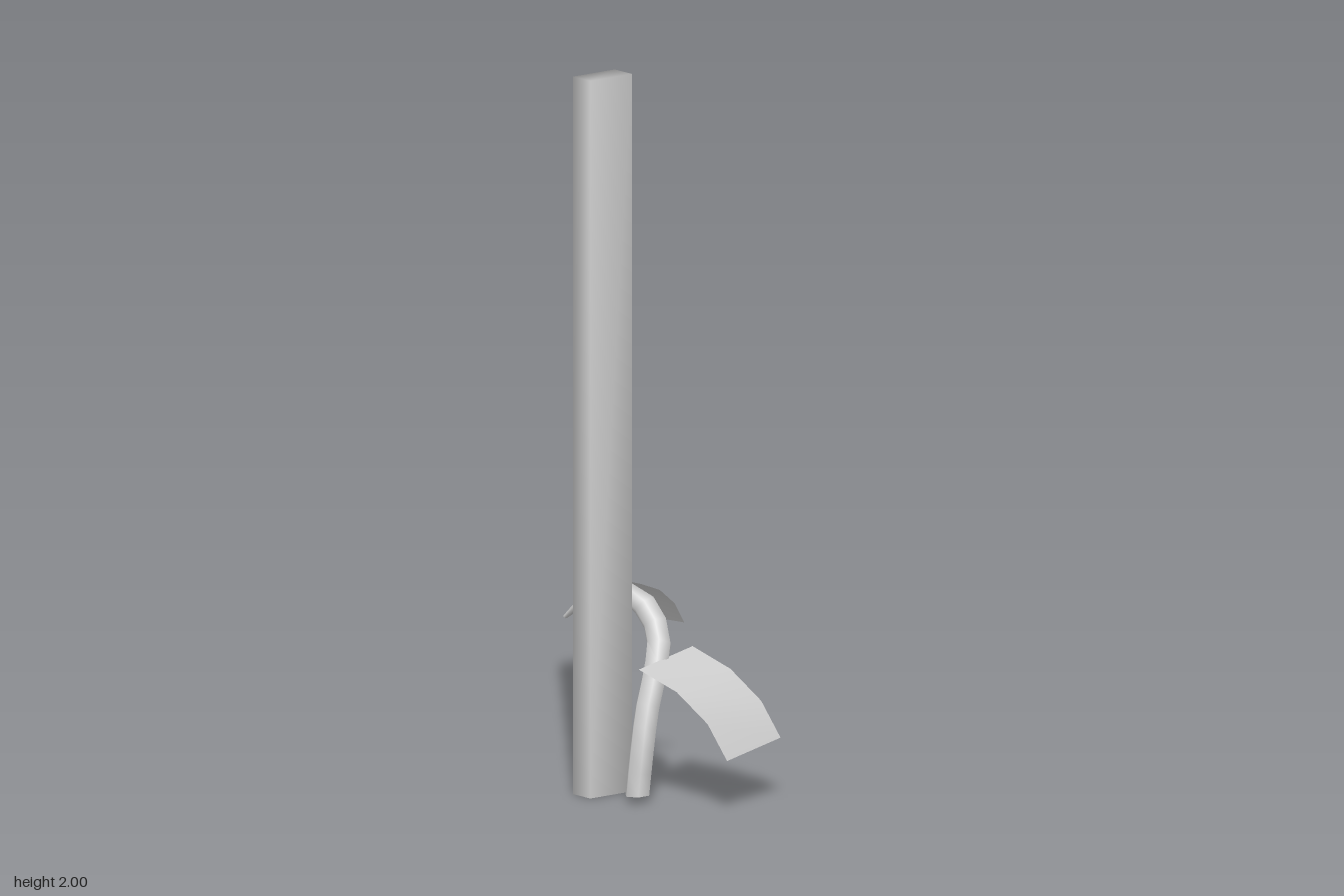
import * as THREE from 'three';
import { mergeVertices, toCreasedNormals } from 'three/addons/utils/BufferGeometryUtils.js';

const material = new THREE.MeshStandardMaterial({ color: 0xcccccc, side: THREE.DoubleSide });
const V = (x, y, z) => new THREE.Vector3(x, y, z);

function addMesh(group, name, geometry) {
  const mesh = new THREE.Mesh(geometry, material);
  mesh.name = name;
  group.add(mesh);
  return mesh;
}

// Builds a surface from equal-length rows of points
function loft(rows, closed) {
  const n = rows[0].length;
  const index = [];
  for (let i = 0; i < rows.length - 1; i++) {
    for (let j = 0; j < (closed ? n : n - 1); j++) {
      const a = i * n + j, b = i * n + (j + 1) % n;
      index.push(a, b, a + n, b, b + n, a + n);
    }
  }
  const geometry = new THREE.BufferGeometry().setFromPoints(rows.flat());
  geometry.setIndex(index);
  geometry.computeVertexNormals();
  return geometry;
}

// Tapered six-sided sweep with closed ends
function stemGeometry() {
  const curve = new THREE.CatmullRomCurve3([
    V(-0.135, 0.02, 0.069), V(-0.115, 0.14, 0.064), V(-0.08, 0.25, 0.045),
    V(-0.03, 0.35, 0.02), V(0.008, 0.43, -0.015), V(0.012, 0.49, -0.06),
    V(-0.005, 0.53, -0.11), V(-0.034, 0.535, -0.18), V(-0.055, 0.5, -0.25),
    V(-0.061, 0.44, -0.332),
  ]);
  const steps = 14, sides = 6, rows = [];
  const ring = (t, scale) => {
    const center = curve.getPointAt(t);
    const tangent = t === 0 ? V(0, 1, 0) : curve.getTangentAt(t);
    const side = V(1, 0, 0).addScaledVector(tangent, -tangent.x).normalize();
    const normal = side.clone().cross(tangent);
    const taper = t < 0.65 ? 1 : 1 - 0.82 * (t - 0.65) / 0.35;
    return Array.from({ length: sides }, (_, j) => {
      const angle = -j / sides * Math.PI * 2;
      return center.clone()
        .addScaledVector(side, Math.cos(angle) * 0.038 * taper * scale)
        .addScaledVector(normal, Math.sin(angle) * 0.032 * taper * scale);
    });
  };
  rows.push(ring(0, 0));
  for (let i = 0; i <= steps; i++) rows.push(ring(i / steps, 1));
  rows.push(ring(1, 0));
  return toCreasedNormals(loft(rows, true), 1.3);
}

// Sheet from the attached edge a-b to the drooping edge d-c
function leafGeometry(a, b, c, d) {
  const profile = [[0, 0], [0.43, 0.22], [0.78, 0.57], [1, 1]];
  const edge = (from, to, [t, drop]) => {
    const p = from.clone().lerp(to, t);
    p.y = from.y + (to.y - from.y) * drop;
    return p;
  };
  return loft(profile.map((k) => [edge(b, c, k), edge(a, d, k)]), false);
}

export function createModel() {
  const group = new THREE.Group();

  // Tall post with softened shading
  const box = new THREE.BoxGeometry(0.146, 2, 0.074);
  box.deleteAttribute('normal');
  box.deleteAttribute('uv');
  const postGeometry = mergeVertices(box);
  postGeometry.computeVertexNormals();
  addMesh(group, 'post', postGeometry).position.set(-0.132, 1, -0.085);

  // Arching stem
  addMesh(group, 'stem', stemGeometry());

  // Broad front leaf and smaller side leaf
  addMesh(group, 'frontLeaf', leafGeometry(
    V(-0.125, 0.367, 0.063), V(0.113, 0.39, 0.003), V(0.202, 0.168, 0.273), V(-0.035, 0.145, 0.333)));
  addMesh(group, 'sideLeaf', leafGeometry(
    V(-0.03, 0.567, -0.245), V(0.005, 0.563, -0.085), V(0.192, 0.423, -0.13), V(0.157, 0.423, -0.29)));

  // Orient the leaf sheets upward
  for (const name of ['frontLeaf', 'sideLeaf']) {
    const geometry = group.getObjectByName(name).geometry;
    if (geometry.attributes.normal.getY(0) < 0) {
      geometry.setIndex([...geometry.index.array].reverse());
      geometry.computeVertexNormals();
    }
  }
  return group;
}
